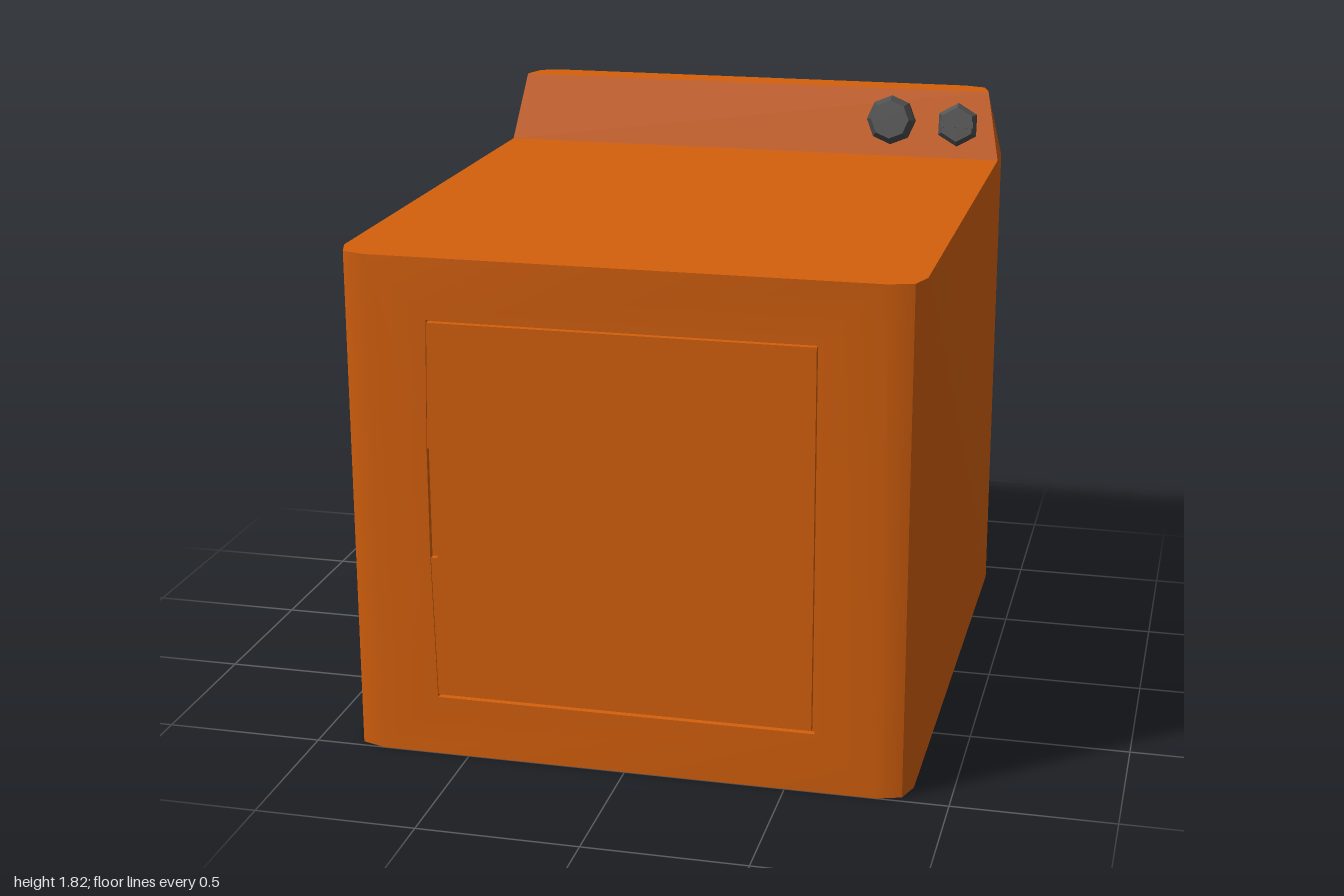
import * as THREE from 'three';
import { mergeGeometries, toCreasedNormals } from 'three/addons/utils/BufferGeometryUtils.js';

const H = 1.59; // height of the cabinet top
const GROOVE = 0.02; // depth of the gap around the door

const shapeOf = (pts) => new THREE.Shape(pts.map(([x, y]) => new THREE.Vector2(x, y)));

function extrude(shape, depth) {
  const g = new THREE.ExtrudeGeometry(shape, { depth, bevelEnabled: false });
  g.deleteAttribute('uv');
  return g;
}

// Walls between two rings, closed on top; rings run counterclockwise from above
function loft(lower, y0, upper, y1) {
  const n = lower.length;
  const pos = [];
  const index = [];
  lower.forEach(([x, z]) => pos.push(x, y0, z));
  upper.forEach(([x, z]) => pos.push(x, y1, z));
  for (let i = 0; i < n; i++) {
    const j = (i + 1) % n;
    index.push(i, j, n + j, i, n + j, n + i);
    if (i > 0 && i < n - 1) index.push(n, n + i, n + i + 1);
  }
  const g = new THREE.BufferGeometry();
  g.setAttribute('position', new THREE.Float32BufferAttribute(pos, 3));
  g.setIndex(index);
  const flat = g.toNonIndexed();
  flat.computeVertexNormals();
  return flat;
}

// Completes a right-hand half ring with its mirror image
const mirrorRing = (half) => [...half, ...half.map(([x, z]) => [-x, z]).reverse()];

function facetedKnob(profile, sides) {
  const pts = profile.map(([r, y]) => new THREE.Vector2(r, y));
  const g = new THREE.LatheGeometry(pts, sides).toNonIndexed();
  g.computeVertexNormals();
  return g.rotateX(Math.PI / 2);
}

export function createModel() {
  const orange = new THREE.MeshStandardMaterial({ color: 0xd4600d });
  orange.name = 'orange enamel';
  const grey = new THREE.MeshStandardMaterial({ color: 0x4c4c4c });
  grey.name = 'dark grey plastic';

  const model = new THREE.Group();
  model.name = 'appliance';
  const add = (name, geometry, material, parent = model) => {
    const mesh = new THREE.Mesh(geometry, material);
    mesh.name = name;
    parent.add(mesh);
    return mesh;
  };

  // Cabinet core: cut-corner footprint with a shallow step for the front frame
  const footprint = mirrorRing([
    [0.78, 1 - GROOVE], [0.78, 1], [0.855, 0.975], [0.88, 0.9],
    [0.88, -0.9], [0.855, -0.975], [0.78, -1],
  ]);
  const core = extrude(shapeOf(footprint.map(([x, z]) => [x, -z])), H).rotateX(-Math.PI / 2);

  // Front frame with the door opening
  const frameShape = shapeOf([[-0.78, 0], [0.78, 0], [0.78, H], [-0.78, H]]);
  frameShape.holes.push(new THREE.Path([
    [-0.595, 1.4], [-0.605, 1], [-0.605, 0.655], [-0.595, 0.19], [0.59, 0.19], [0.59, 1.4],
  ].map(([x, y]) => new THREE.Vector2(x, y))));
  const frame = extrude(frameShape, GROOVE).translate(0, 0, 1 - GROOVE);

  // Tapered control panel along the back
  const panel = loft(
    mirrorRing([[0.88, -0.79], [0.88, -0.9], [0.855, -0.975], [0.78, -1]]), H,
    mirrorRing([[0.835, -0.838], [0.83, -0.865], [0.81, -0.928], [0.74, -0.953]]), 1.82,
  );
  add('cabinet', toCreasedNormals(mergeGeometries([core, frame, panel]), 0.42), orange);

  // Flush door with a finger notch on its right-hand edge
  const door = extrude(shapeOf([
    [-0.593, 1.392], [-0.603, 1], [-0.582, 1], [-0.582, 0.65],
    [-0.603, 0.65], [-0.593, 0.2], [0.58, 0.2], [0.58, 1.392],
  ]), GROOVE);
  add('door', door.translate(0, 0, 1 - GROOVE), orange);

  // Knobs, tilted to sit on the sloping panel
  const knobGroup = (name, x, y) => {
    const group = new THREE.Group();
    group.name = name;
    group.position.set(x, y, -0.79 - ((y - H) * 0.048) / 0.23);
    group.rotation.x = -Math.atan(0.048 / 0.23);
    model.add(group);
    return group;
  };
  const large = knobGroup('largeKnob', 0.505, 1.712);
  add('largeKnobCap', facetedKnob(
    [[0.068, 0], [0.084, 0.018], [0.084, 0.05], [0.066, 0.073], [0, 0.073]], 8), grey, large);

  const small = knobGroup('smallKnob', 0.735, 1.705);
  add('smallKnobBase', facetedKnob(
    [[0.075, 0], [0.075, 0.02], [0.06, 0.036], [0, 0.036]], 6), grey, small);
  const grip = new THREE.BoxGeometry(0.115, 0.022, 0.02);
  add('smallKnobGrip', grip.translate(0, 0, 0.036), grey, small);

  return model;
}
